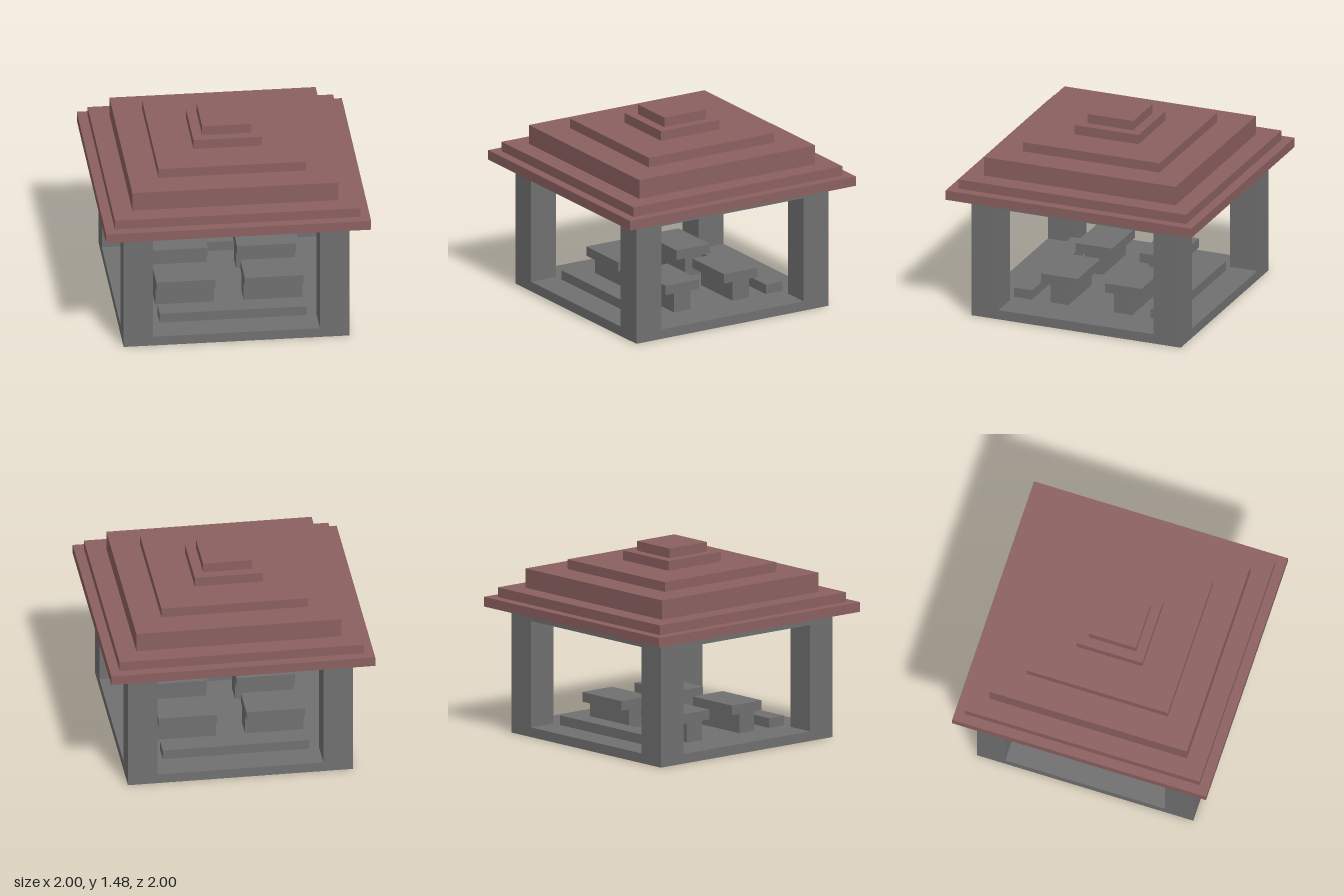
import * as THREE from 'three';

// Everything sits on a block grid; U is the size of one block.
const U = 2 / 27;

export function createModel() {
  const group = new THREE.Group();
  group.name = 'pavilion';

  const make = (name, hex) => {
    const m = new THREE.MeshStandardMaterial({ color: hex });
    m.name = name;
    return m;
  };
  const stone = make('dark grey stone', 0x707070);
  const roofRed = make('dusty red roof', 0x8c6060);
  const lampGrey = make('light grey lamp', 0xa5a5a5);

  // Box given by its width, height, depth and the centre of its base, in blocks
  const box = (name, mat, w, h, d, x, y, z) => {
    const geo = new THREE.BoxGeometry(w * U, h * U, d * U);
    geo.translate(x * U, (y + h / 2) * U, z * U);
    const mesh = new THREE.Mesh(geo, mat);
    mesh.name = name;
    group.add(mesh);
  };

  // Upright-walled square frame, lying flat
  const frame = (name, mat, outer, inner, y, h) => {
    const square = (P, s) => new P([[-s, -s], [s, -s], [s, s], [-s, s]]
      .map(([a, b]) => new THREE.Vector2(a * U / 2, b * U / 2)));
    const shape = square(THREE.Shape, outer);
    shape.holes.push(square(THREE.Path, inner));
    const geo = new THREE.ExtrudeGeometry(shape, { depth: h * U, bevelEnabled: false });
    geo.rotateX(-Math.PI / 2);
    geo.translate(0, y * U, 0);
    const mesh = new THREE.Mesh(geo, mat);
    mesh.name = name;
    group.add(mesh);
  };

  // Floor and the ring of beams on top of the posts
  box('floor', stone, 23, 1, 23, 0, 0, 0);
  frame('topBeams', stone, 23, 17, 12, 2);

  for (const sz of [-1, 1]) {
    // Long low bench along the front and back
    box('bench', stone, 15, 1, 2, 0, 1, sz * 7.5);

    for (const sx of [-1, 1]) {
      box('cornerPost', stone, 3, 11, 3, sx * 10, 1, sz * 10);

      // Table with a narrower foot
      box('tableFoot', stone, 6, 2, 2, sx * 4.5, 1, sz * 3.5);
      box('tableTop', stone, 6, 1, 4, sx * 4.5, 3, sz * 3.5);

      // Lamp hanging from the ceiling
      box('lampShade', lampGrey, 5, 1, 3, sx * 5, 11, sz * 4);
      box('lampStem', lampGrey, 1, 2, 1, sx * 5, 12, sz * 4);
    }
  }

  // Eave rim, hollow below, then the stepped roof: [width, base, height]
  frame('eaveRim', roofRed, 27, 25, 13, 1);
  // Slim ledge-level top of the rim is covered by the first roof step
  const steps = [[25, 14, 1], [21, 15, 2], [15, 17, 1], [7, 18, 1], [5, 19, 1]];
  for (const [w, y, h] of steps) box('roofStep', roofRed, w, h, w, 0, y, 0);

  return group;
}
